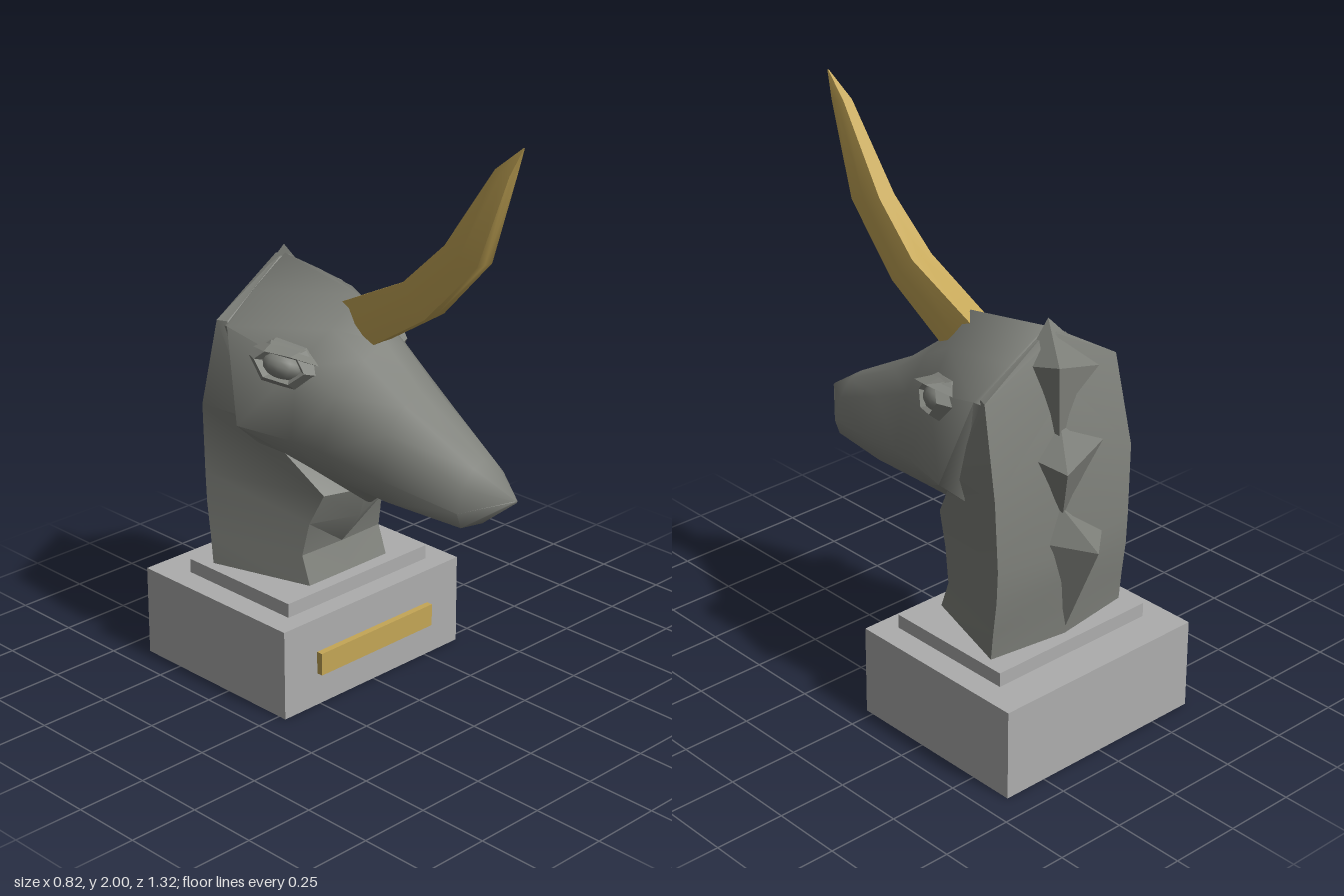
import * as THREE from 'three';
import { toCreasedNormals } from 'three/addons/utils/BufferGeometryUtils.js';
import { ConvexGeometry } from 'three/addons/geometries/ConvexGeometry.js';

const darkStone = new THREE.MeshStandardMaterial({ color: 0x7f817b });
const paleStone = new THREE.MeshStandardMaterial({ color: 0xadadad });
const gold = new THREE.MeshStandardMaterial({ color: 0xc4a656 });

function addMesh(parent, name, geometry, material = darkStone) {
  const mesh = new THREE.Mesh(geometry, material);
  mesh.name = name;
  parent.add(mesh);
  return mesh;
}

function addBox(parent, name, w, y0, y1, z0, z1, material) {
  const mesh = addMesh(parent, name, new THREE.BoxGeometry(w, y1 - y0, z1 - z0), material);
  mesh.position.set(0, (y0 + y1) / 2, (z0 + z1) / 2);
}

const convex = points => new ConvexGeometry(points.map(p => new THREE.Vector3(...p)));

// Completes a half outline (first and last point on x = 0) by mirroring it.
const mirrorRing = half => [...half, ...half.slice(1, -1).reverse().map(([x, y, z]) => [-x, y, z])];

// Skins a row of equal rings, closes both ends, and turns the faces outward.
function loft(rings, crease) {
  const faces = [], n = rings[0].length;
  const middle = r => [0, 1, 2].map(k => r.reduce((s, p) => s + p[k], 0) / n);
  const first = rings[0], last = rings[rings.length - 1];
  const c0 = middle(first), c1 = middle(last);
  for (let j = 0; j < n; j++) {
    const k = (j + 1) % n;
    for (let i = 0; i < rings.length - 1; i++) {
      const a = rings[i], b = rings[i + 1];
      // The diagonal is swapped on the mirrored half to keep symmetry.
      if (j < n / 2) faces.push([a[j], a[k], b[k]], [a[j], b[k], b[j]]);
      else faces.push([a[j], a[k], b[j]], [a[k], b[k], b[j]]);
    }
    faces.push([c0, first[k], first[j]], [c1, last[j], last[k]]);
  }
  let volume = 0;
  for (const [a, b, c] of faces) {
    volume += new THREE.Vector3(...a).dot(new THREE.Vector3(...b).cross(new THREE.Vector3(...c)));
  }
  if (volume < 0) faces.forEach(f => f.reverse());
  const geometry = new THREE.BufferGeometry();
  geometry.setAttribute('position', new THREE.Float32BufferAttribute(faces.flat(2), 3));
  return toCreasedNormals(geometry, crease);
}

function addBase(group) {
  addBox(group, 'plinth', 0.82, 0, 0.32, -0.66, 0.03, paleStone);
  addBox(group, 'plinthStep', 0.65, 0.32, 0.37, -0.53, -0.04, paleStone);
  addBox(group, 'plaque', 0.525, 0.117, 0.197, 0.03, 0.053, gold);
}

// Long tapering head, from the nose back to the shield-shaped rim.
function addHead(group) {
  const rings = [
    [[0, 0.865, 0.66], [0.004, 0.864, 0.66], [0.006, 0.862, 0.66], [0.008, 0.86, 0.66], [0.005, 0.855, 0.66], [0, 0.853, 0.66]],
    [[0, 0.96, 0.52], [0.05, 0.945, 0.52], [0.095, 0.89, 0.52], [0.12, 0.81, 0.52], [0.1, 0.755, 0.52], [0, 0.74, 0.52]],
    [[0, 1.11, 0.25], [0.08, 1.085, 0.25], [0.155, 1.01, 0.25], [0.2, 0.87, 0.25], [0.155, 0.775, 0.25], [0, 0.735, 0.13]],
    [[0, 1.24, 0.08], [0.095, 1.2, 0.08], [0.195, 1.1, 0.06], [0.255, 0.92, 0.05], [0.185, 0.8, 0.07], [0, 0.68, 0.05]],
    [[0, 1.37, -0.035], [0.11, 1.275, -0.05], [0.23, 1.17, -0.09], [0.285, 0.935, -0.06], [0.2, 0.812, -0.01], [0, 0.655, 0.02]],
    [[0, 1.43, -0.385], [0.15, 1.34, -0.375], [0.285, 1.25, -0.36], [0.34, 0.945, -0.26], [0.2, 0.815, -0.06], [0, 0.65, 0]],
    [[0, 1.42, -0.395], [0.145, 1.335, -0.39], [0.275, 1.245, -0.385], [0.24, 0.855, -0.27], [0.15, 0.785, -0.08], [0, 0.66, -0.03]]
  ];
  addMesh(group, 'head', loft(rings.map(mirrorRing), 1.05));
}

// Neck with a narrow front and a broad back.
function addNeck(group) {
  const levels = [
    // y, front z, front corner x and z, side corner x and z, back z
    [0.37, -0.09, 0.18, -0.09, 0.29, -0.45, -0.49],
    [0.47, -0.12, 0.18, -0.125, 0.29, -0.46, -0.5],
    [0.59, -0.035, 0.17, -0.1, 0.29, -0.475, -0.52],
    [0.7, 0, 0.15, -0.05, 0.29, -0.48, -0.525],
    [0.95, -0.12, 0.27, -0.25, 0.3, -0.475, -0.51],
    [1.26, -0.3, 0.27, -0.375, 0.285, -0.41, -0.48],
    [1.42, -0.385, 0.02, -0.39, 0.02, -0.4, -0.43]
  ];
  const rings = levels.map(([y, f, cx, cz, sx, sz, b]) =>
    mirrorRing([[0, y, f], [cx, y, cz], [sx, y, sz], [0, y, b]]));
  addMesh(group, 'neck', loft(rings, 0.45));
}

// Three jagged tufts down the back of the neck, each fanning out to the right.
function addMane(group) {
  const tufts = [
    [[0, 1.46, -0.39], [0.11, 1.33, -0.39], [0.085, 1.36, -0.53], [-0.2, 1.25, -0.43], [0.05, 1.07, -0.5]],
    [[0.03, 1.15, -0.48], [-0.16, 1.02, -0.485], [0.1, 1.02, -0.59], [0.13, 1.04, -0.48], [0.04, 0.82, -0.51]],
    [[0.05, 0.87, -0.5], [-0.15, 0.7, -0.5], [-0.005, 0.72, -0.63], [0.1, 0.74, -0.5], [0, 0.38, -0.485]]
  ];
  for (const points of tufts) addMesh(group, 'maneTuft', convex(points));
}

// Curved horn, flat along its upper side.
function addHorn(group) {
  const sections = [
    // lower z and y, upper z and y, half width
    [0.07, 1.235, -0.12, 1.325, 0.048],
    [0.3, 1.38, 0.2, 1.48, 0.052],
    [0.51, 1.6, 0.37, 1.64, 0.04],
    [0.62, 1.91, 0.56, 1.92, 0.022],
    [0.66, 2, 0.655, 2, 0.002]
  ];
  const rings = sections.map(([lz, ly, uz, uy, w]) => mirrorRing([
    [0, ly, lz], [w * 0.85, ly, lz],
    [w, (ly + uy) / 2, (lz + uz) / 2],
    [w * 0.8, uy, uz], [0, uy, uz]
  ]));
  addMesh(group, 'horn', loft(rings, 0.5), gold);
}

// Faceted eyelid around a rounded eyeball, with a pointed brow above.
function addEye(group, side) {
  const eye = new THREE.Group();
  eye.name = side > 0 ? 'leftEye' : 'rightEye';
  const lid = new THREE.TorusGeometry(0.085, 0.034, 4, 6);
  lid.scale(1.05, 0.66, 1.3);
  addMesh(eye, 'eyelid', toCreasedNormals(lid, 0.4));
  const ball = new THREE.SphereGeometry(0.064, 12, 8);
  ball.scale(1.15, 0.75, 0.85);
  addMesh(eye, 'eyeball', ball);
  addMesh(eye, 'brow', convex([[-0.115, 0.03, 0], [0.115, 0.03, 0], [-0.06, 0.08, -0.05], [0.06, 0.08, -0.05],
    [-0.05, 0.04, 0.08], [0.04, 0.045, 0.075], [0, 0.05, -0.06]]));
  eye.position.set(side * 0.232 - 0.012, 1.165, -0.135);
  eye.rotation.set(-0.25, side * 1.12, side * 0.17, 'YXZ');
  group.add(eye);
}

export function createModel() {
  const group = new THREE.Group();
  group.name = 'hornedHeadBust';
  addBase(group);
  addNeck(group);
  addHead(group);
  addMane(group);
  addHorn(group);
  for (const side of [1, -1]) addEye(group, side);
  return group;
}
